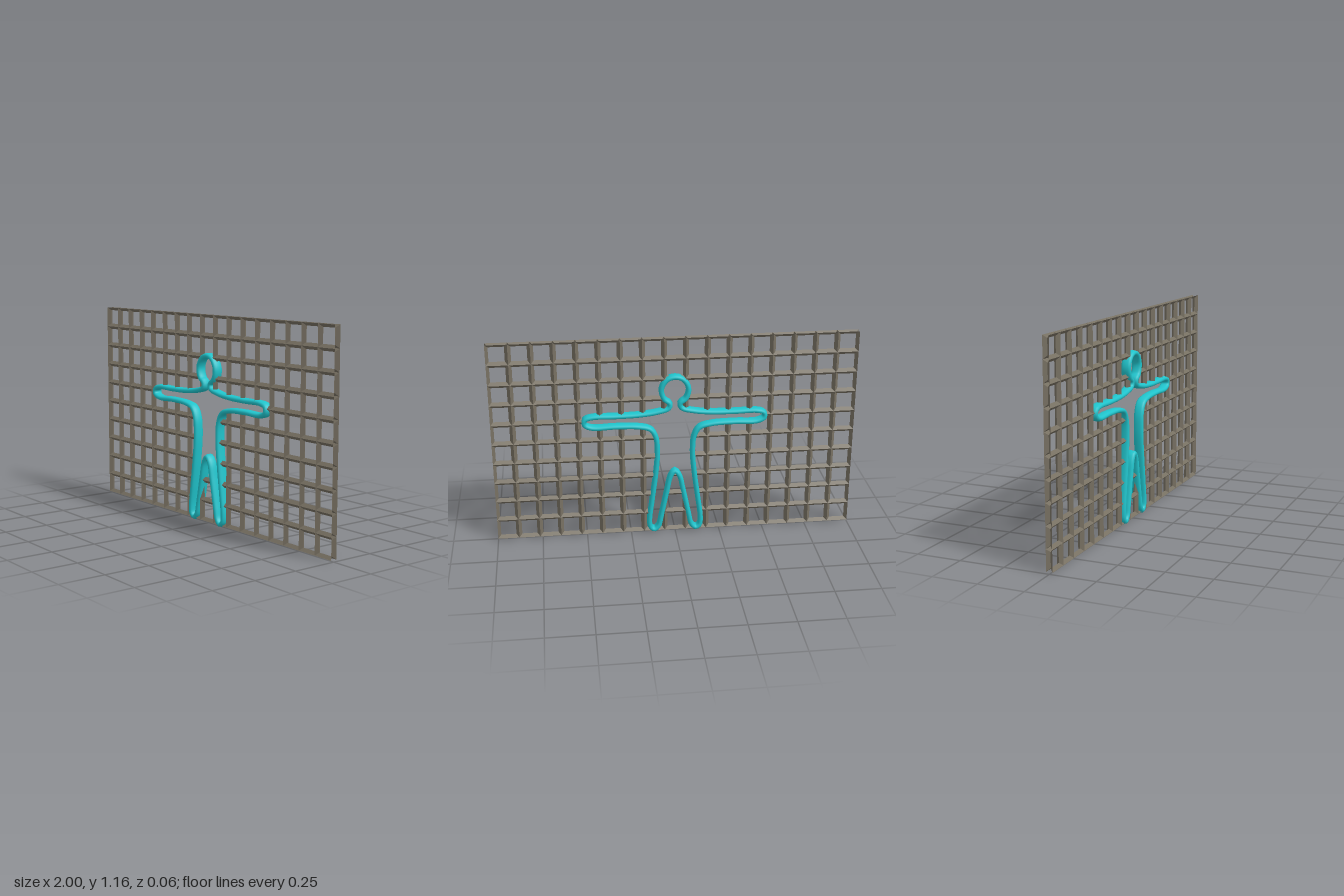
import * as THREE from 'three';

// Left half of the figure's centre line, head to crotch
const HALF = [
  [0, 0.937], [0.045, 0.922], [0.074, 0.868], [0.06, 0.812], [0.028, 0.785], [0.034, 0.758],
  [0.1, 0.737], [0.2, 0.725], [0.33, 0.722], [0.455, 0.722], [0.494, 0.708], [0.496, 0.68],
  [0.455, 0.66], [0.33, 0.661], [0.2, 0.655], [0.135, 0.636], [0.106, 0.585], [0.098, 0.49],
  [0.11, 0.35], [0.13, 0.2], [0.145, 0.075], [0.14, 0.03], [0.118, 0.014], [0.094, 0.035],
  [0.078, 0.1], [0.045, 0.26], [0.025, 0.345], [0, 0.377],
];

function outlinePoints(count) {
  const right = HALF.slice(1, -1).reverse().map(([x, y]) => [-x, y]);
  const pts = [...HALF, ...right].map(([x, y]) => new THREE.Vector3(x, y, 0));
  return new THREE.CatmullRomCurve3(pts, true, 'centripetal').getSpacedPoints(count).slice(0, count);
}

function isInside(poly, x, y) {
  let inside = false;
  for (let i = 0, j = poly.length - 1; i < poly.length; j = i++) {
    const a = poly[i], b = poly[j];
    if ((a.y > y) !== (b.y > y) && x < a.x + ((y - a.y) / (b.y - a.y)) * (b.x - a.x)) inside = !inside;
  }
  return inside;
}

// Sweeps a deep, rounded section around the closed outline
function sweepOutline(path) {
  const section = [];
  const sides = 16;
  for (let k = 0; k < sides; k++) {
    const a = (k / sides) * Math.PI * 2;
    const round = (v) => Math.sign(v) * Math.pow(Math.abs(v), 0.8);
    section.push([0.0145 * round(Math.cos(a)), 0.028 * round(Math.sin(a))]);
  }
  const n = path.length, pos = [], index = [];
  path.forEach((p, i) => {
    const t = path[(i + 1) % n].clone().sub(path[(i + n - 1) % n]).normalize();
    for (const [w, z] of section) pos.push(p.x - t.y * w, p.y + t.x * w, z);
    for (let k = 0; k < sides; k++) {
      const k2 = (k + 1) % sides, i2 = (i + 1) % n;
      const a = i * sides + k, b = i * sides + k2, c = i2 * sides + k2, d = i2 * sides + k;
      index.push(a, b, c, a, c, d);
    }
  });
  const geo = new THREE.BufferGeometry();
  geo.setAttribute('position', new THREE.Float32BufferAttribute(pos, 3));
  geo.setIndex(index);
  geo.computeVertexNormals();
  return geo;
}

// Hollow lattice: each opening is a double funnel, narrowest at mid depth.
// Walls are split into short strips and left out inside the figure.
function latticeGeometry(outline) {
  const cols = 17, rows = 10, y0 = 0.01, y1 = 1.16, r = 0.0165, depth = 0.0175;
  const dx = 2 / cols, dy = (y1 - y0) / rows, steps = 14;
  const pos = [];
  const strip = (a, b, c, d) => {
    const x = (a[0] + b[0] + c[0] + d[0]) / 4, y = (a[1] + b[1] + c[1] + d[1]) / 4;
    if (!isInside(outline, x, y)) pos.push(...a, ...b, ...c, ...a, ...c, ...d);
  };
  const mix = (a, b, t) => a.map((v, i) => v + (b[i] - v) * t);
  const corners = [[-1, -1], [1, -1], [1, 1], [-1, 1]];
  for (let i = 0; i < cols; i++) {
    for (let j = 0; j < rows; j++) {
      const cx = -1 + (i + 0.5) * dx, cy = y0 + (j + 0.5) * dy;
      const ring = (inset, z) => corners.map(([sx, sy]) =>
        [cx + sx * (dx / 2 - inset), cy + sy * (dy / 2 - inset), z]);
      for (const side of [1, -1]) {
        const outer = ring(0, side * depth), inner = ring(r, 0);
        for (let k = 0; k < 4; k++) {
          const m = (k + 1) % 4;
          for (let s = 0; s < steps; s++) {
            const t = s / steps, u = (s + 1) / steps;
            const a = mix(outer[k], outer[m], t), b = mix(outer[k], outer[m], u);
            const c = mix(inner[k], inner[m], u), d = mix(inner[k], inner[m], t);
            if (side > 0) strip(a, b, c, d);
            else strip(b, a, d, c);
          }
        }
      }
    }
  }
  const geo = new THREE.BufferGeometry();
  geo.setAttribute('position', new THREE.Float32BufferAttribute(pos, 3));
  geo.computeVertexNormals();
  return geo;
}

export function createModel() {
  const group = new THREE.Group();
  const outline = outlinePoints(320);

  // Square lattice screen
  const lattice = new THREE.Mesh(
    latticeGeometry(outline),
    new THREE.MeshStandardMaterial({ color: 0x777062, side: THREE.DoubleSide }));
  lattice.name = 'latticeScreen';
  group.add(lattice);

  // Rim of the human-shaped opening
  const rim = new THREE.Mesh(
    sweepOutline(outline),
    new THREE.MeshStandardMaterial({ color: 0x20c4cc }));
  rim.name = 'figureOutline';
  group.add(rim);

  return group;
}
